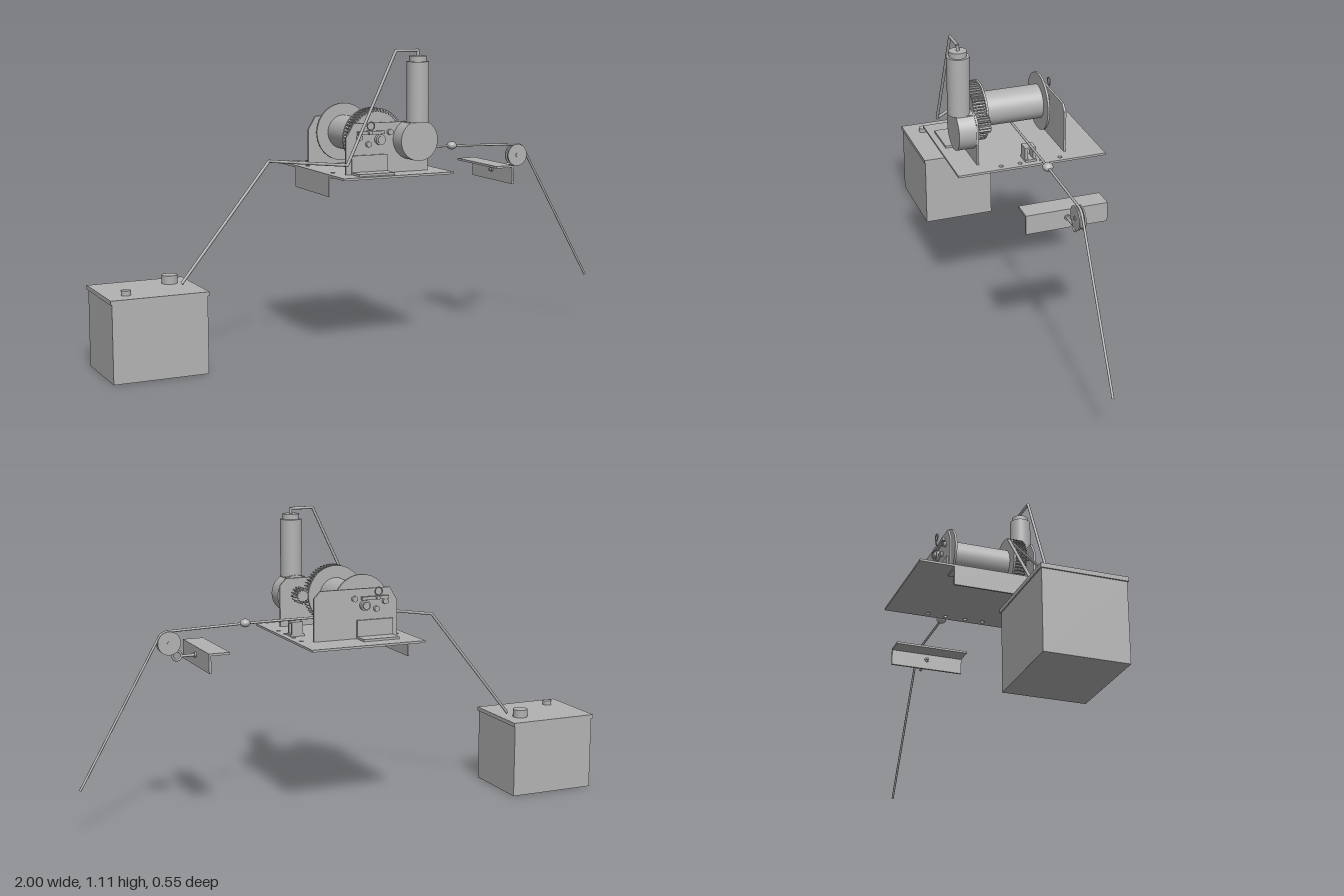
import * as THREE from 'three';

const grey = new THREE.MeshStandardMaterial({ color: 0xb2b2b2 });
grey.name = 'plain grey';

export function createModel() {
  const root = new THREE.Group();
  root.name = 'winchAssembly';

  const add = (name, geo, x = 0, y = 0, z = 0, parent = root) => {
    const m = new THREE.Mesh(geo, grey);
    m.name = name;
    m.position.set(x, y, z);
    parent.add(m);
    return m;
  };
  // box given by its minimum and maximum corners
  const box = (name, x0, x1, y0, y1, z0, z1) =>
    add(name, new THREE.BoxGeometry(x1 - x0, y1 - y0, z1 - z0),
      (x0 + x1) / 2, (y0 + y1) / 2, (z0 + z1) / 2);
  // upright cylinder between two heights
  const post = (name, x, z, r, y0, y1) =>
    add(name, new THREE.CylinderGeometry(r, r, y1 - y0, 32), x, (y0 + y1) / 2, z);
  // cylinder along z
  const disc = (name, x, y, r, z0, z1, sides = 40) => {
    const g = new THREE.CylinderGeometry(r, r, Math.abs(z1 - z0), sides).rotateX(Math.PI / 2);
    return add(name, g, x, y, (z0 + z1) / 2);
  };
  // straight rods joined end to end with round elbows
  const line = (name, pts, r) => {
    const g = new THREE.Group();
    g.name = name;
    root.add(g);
    const v = pts.map(p => new THREE.Vector3(...p));
    for (let i = 0; i < v.length - 1; i++) {
      const d = v[i + 1].clone().sub(v[i]);
      const mid = v[i].clone().add(v[i + 1]).multiplyScalar(0.5);
      const m = add(name + 'Run', new THREE.CylinderGeometry(r, r, d.length(), 10), mid.x, mid.y, mid.z, g);
      m.quaternion.setFromUnitVectors(new THREE.Vector3(0, 1, 0), d.normalize());
      if (i > 0) add(name + 'Elbow', new THREE.SphereGeometry(r, 10, 8), v[i].x, v[i].y, v[i].z, g);
    }
  };
  const extrude = (shape, depth, curveSegments = 12) =>
    new THREE.ExtrudeGeometry(shape, { depth, bevelEnabled: false, curveSegments });
  const polygon = pts => new THREE.Shape(pts.map(p => new THREE.Vector2(...p)));
  const hole = (shape, x, y, r) => {
    const p = new THREE.Path();
    p.absarc(x, y, r, 0, Math.PI * 2, true);
    shape.holes.push(p);
  };

  // Battery
  box('batteryCase', -0.995, -0.655, 0, 0.275, -0.142, 0.142);
  box('batteryLid', -1, -0.65, 0.275, 0.29, -0.146, 0.146);
  post('largeTerminal', -0.725, -0.057, 0.028, 0.29, 0.32);
  post('smallTerminal', -0.925, 0.073, 0.017, 0.29, 0.307);

  // Base plate with bolt holes
  const base = polygon([[-0.2, -0.275], [0.235, -0.275], [0.235, 0.275], [-0.2, 0.275]]);
  for (const s of [-1, 1]) {
    hole(base, -0.165, s * 0.11, 0.008);
    hole(base, 0.21, s * 0.11, 0.008);
    hole(base, 0.21, s * 0.04, 0.008);
  }
  add('basePlate', extrude(base, 0.008).rotateX(-Math.PI / 2), 0, 0.662, 0);

  // Angle iron under the plate
  box('baseAngleDrop', -0.2, -0.193, 0.59, 0.662, -0.146, 0.146);
  box('baseAngleFlange', -0.193, -0.13, 0.655, 0.662, -0.146, 0.146);

  // Drum, flanges and axle
  const AX = -0.02, AY = 0.79;
  disc('drum', AX, AY, 0.063, -0.11, 0.112, 48);
  disc('rearFlange', AX, AY, 0.107, -0.118, -0.11, 48);
  disc('gearFlange', AX, AY, 0.109, 0.112, 0.119, 48);
  disc('axle', AX, AY, 0.013, -0.168, 0.205, 20);

  // Toothed wheels
  const gear = (name, x, y, r, depth, teeth, z0, z1) => {
    const pts = [];
    for (let i = 0; i < teeth; i++) {
      [[0, r - depth], [0.45, r - depth], [0.58, r], [0.87, r]].forEach(([f, q]) => {
        const a = (i + f) / teeth * Math.PI * 2;
        pts.push([Math.cos(a) * q, Math.sin(a) * q]);
      });
    }
    add(name, extrude(polygon(pts), z1 - z0), x, y, z0);
  };
  gear('drumGear', AX, AY, 0.109, 0.012, 56, 0.119, 0.164);
  gear('pinion', 0.108, 0.79, 0.03, 0.01, 14, 0.119, 0.164);
  disc('pinionShaft', 0.108, 0.79, 0.01, 0.16, 0.2, 16);

  // Side plates with their feet and fittings, one at each end of the drum
  for (const s of [1, -1]) {
    const at = s > 0 ? 0.18 : -0.138;   // inner face
    const z = d => at + s * d;
    const span = (name, x0, x1, y0, y1, a, b) =>
      box(name, x0, x1, y0, y1, Math.min(z(a), z(b)), Math.max(z(a), z(b)));
    const side = polygon([[-0.15, 0.67], [0.175, 0.67], [0.175, 0.825],
      [0.15, 0.85], [-0.12, 0.85], [-0.15, 0.8]]);
    add('sidePlate', extrude(side, 0.008), 0, 0, Math.min(z(0), z(0.008)));
    span('footUpright', -0.13, 0.01, 0.67, 0.737, 0.008, 0.015);
    span('footFlange', -0.13, 0.01, 0.67, 0.678, 0.015, 0.072);
    // bearing, retaining bolts and locking bar
    disc('innerBearing', AX, AY, 0.026, z(-0.016), z(0), 24);
    disc('outerBearing', AX, AY, 0.019, z(0.008), z(0.022), 24);
    for (const [x, y] of [[-0.065, 0.775], [0.02, 0.815], [-0.1, 0.8]])
      disc('bolt', x, y, 0.011, z(-0.008), z(0.02), 6);
    span('lockingBar', -0.11, -0.005, 0.81, 0.822, 0.014, 0.024);
    disc('lockingPin', -0.065, 0.817, 0.007, z(0), z(0.034), 12);
    add('pullRing', new THREE.TorusGeometry(0.014, 0.0025, 8, 24), -0.065, 0.841, z(0.032));
  }

  // Gearbox and upright motor
  disc('gearbox', 0.108, 0.786, 0.073, 0.188, 0.252, 48);
  box('motorNeck', 0.07, 0.146, 0.8, 0.852, 0.192, 0.252);
  post('motor', 0.11, 0.232, 0.04, 0.85, 1.065);
  post('motorCap', 0.11, 0.232, 0.031, 1.065, 1.085);
  post('motorStud', 0.11, 0.232, 0.006, 1.085, 1.107);

  // Power cable
  line('powerCable', [[-0.7, 0.295, 0], [-0.365, 0.71, 0], [-0.165, 0.71, 0.23],
    [0.022, 1.104, 0.232], [0.11, 1.104, 0.232]], 0.0055);

  // Rope guide on the base plate
  box('guideBase', 0.16, 0.213, 0.67, 0.678, -0.02, 0.02);
  for (const s of [-1, 1]) box('guideCheek', 0.165, 0.208, 0.678, 0.722, s * 0.015 - 0.005, s * 0.015 + 0.005);
  box('guideBridge', 0.165, 0.208, 0.715, 0.723, -0.02, 0.02);

  // Rope over the pulley, with stopper ball
  const PX = 0.665, PY = 0.68, PR = 0.041;
  const rope = [[0, 0.731, 0], [0.38, 0.729, 0]];
  for (let i = 0; i <= 6; i++) {
    const a = Math.PI / 2 - i / 6 * 1.05;
    rope.push([PX + Math.cos(a) * PR, PY + Math.sin(a) * PR, 0]);
  }
  rope.push([0.996, 0.182, 0]);
  line('rope', rope, 0.0045);
  add('stopperBall', new THREE.SphereGeometry(0.019, 24, 16), 0.38, 0.73, 0).scale.y = 0.8;

  // Pulley with two cheeks, hook ring and eye bolt
  disc('pulleyWheel', PX, PY, 0.037, -0.006, 0.006);
  for (const s of [-1, 1]) disc('pulleyCheek', PX, PY, 0.042, s * 0.007, s * 0.012);
  disc('pulleyPin', PX, PY, 0.008, -0.015, 0.015, 12);
  add('hookRing', new THREE.TorusGeometry(0.016, 0.0045, 8, 24), 0.635, 0.632, 0);
  line('eyeBolt', [[0.545, 0.63, 0], [0.62, 0.63, 0]], 0.005);
  line('boltNut', [[0.553, 0.63, 0], [0.572, 0.63, 0]], 0.01);

  // Angle bracket holding the pulley
  box('bracketTop', 0.49, 0.566, 0.652, 0.66, -0.146, 0.146);
  box('bracketDrop', 0.558, 0.566, 0.59, 0.652, -0.146, 0.146);

  return root;
}
